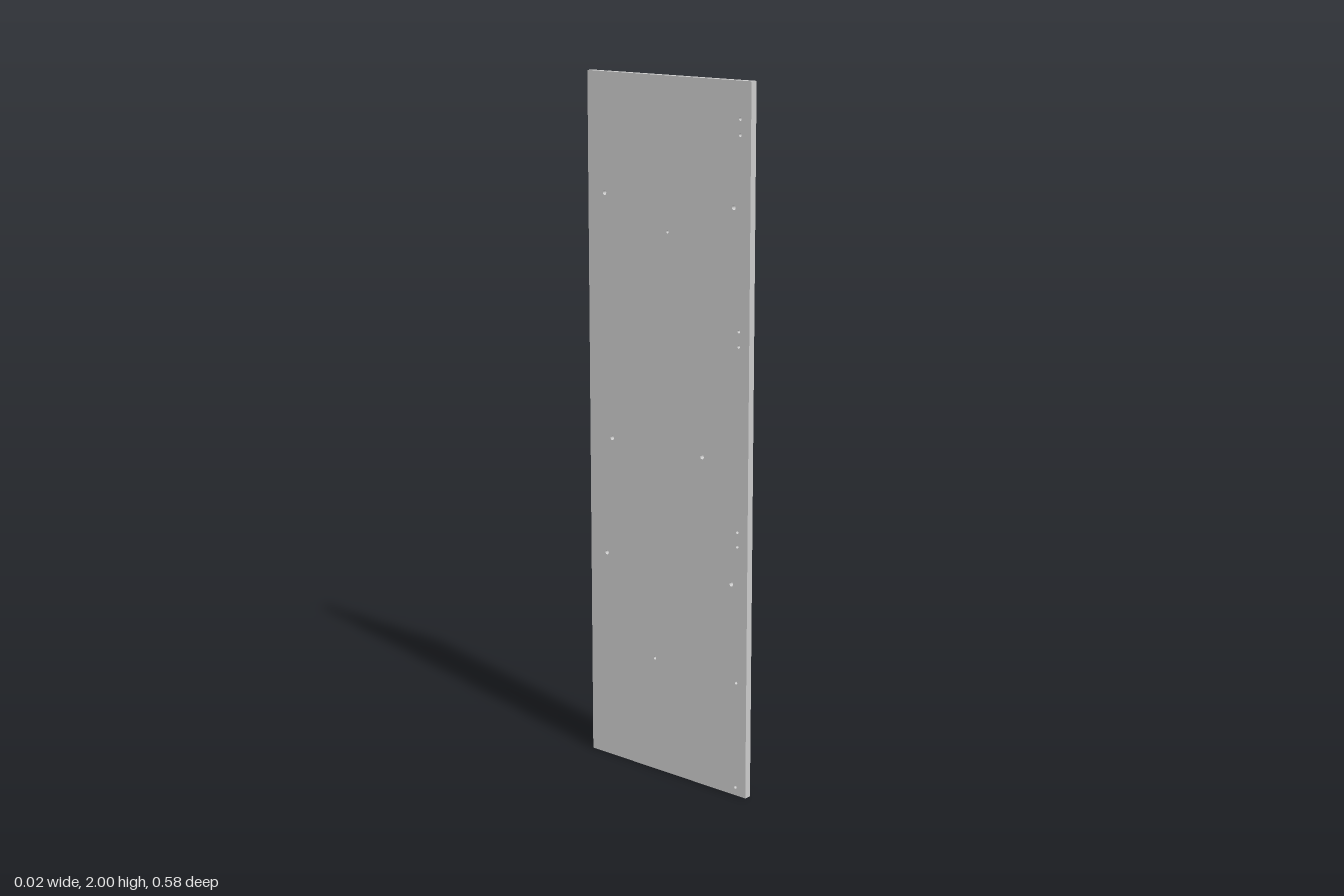
import * as THREE from 'three';

const H = 2, D = 0.583, T = 0.021;
const grey = new THREE.MeshStandardMaterial({ color: 0xcccccc });
const greyBoth = new THREE.MeshStandardMaterial({ color: 0xcccccc, side: THREE.DoubleSide });

// Flat rectangle facing +z with drilled holes; each hole is { u, v, r, depth, through }
function drilledFace(name, w, h, holes = []) {
  const face = new THREE.Group();
  face.name = name;
  const shape = new THREE.Shape([
    new THREE.Vector2(-w / 2, -h / 2), new THREE.Vector2(w / 2, -h / 2),
    new THREE.Vector2(w / 2, h / 2), new THREE.Vector2(-w / 2, h / 2),
  ]);
  for (const { u, v, r, depth, through } of holes) {
    const path = new THREE.Path();
    path.absarc(u, v, r, 0, Math.PI * 2, true);
    shape.holes.push(path);
    if (!depth) continue; // opening only, the wall belongs to the opposite face
    const wall = new THREE.Mesh(
      new THREE.CylinderGeometry(r, r, depth, 16, 1, true).rotateX(Math.PI / 2), greyBoth);
    wall.name = 'holeWall';
    wall.position.set(u, v, -depth / 2);
    face.add(wall);
    if (!through) {
      const floor = new THREE.Mesh(new THREE.CircleGeometry(r, 16), grey);
      floor.name = 'holeFloor';
      floor.position.set(u, v, -depth);
      face.add(floor);
    }
  }
  const surface = new THREE.Mesh(new THREE.ShapeGeometry(shape, 8), grey);
  surface.name = name + 'Surface';
  face.add(surface);
  return face;
}

export function createModel() {
  const panel = new THREE.Group();
  panel.name = 'cabinetSidePanel';

  // Hole positions as [z, y]
  const bolts = [
    [0.235, 1.665], [-0.23, 1.665], [0.235, 0.62], [-0.23, 0.62],
    [0.128, 0.965], [-0.207, 0.965],
  ];
  const shelfPins = [];
  for (const y of [1.62, 1.495, 1.368, 0.562, 0.437, 0.31])
    for (const z of [0.128, -0.207]) shelfPins.push([z, y]);
  const hingeScrews = [[0.002, 1.578], [-0.046, 0.339], [0.255, 0.336], [0.255, 0.024]];
  for (const y of [1.9, 1.333, 0.773])
    hingeScrews.push([0.255, y], [0.255, y - 0.042]);

  // Broad faces: through bolt holes in both, blind holes in each
  const hole = (side, r, depth, through = false) => ([z, y]) =>
    ({ u: -side * z, v: y - H / 2, r, depth, through });
  const left = drilledFace('leftFace', D, H, [
    ...bolts.map(hole(1, 0.0065, T, true)), ...shelfPins.map(hole(1, 0.0045, 0.014)),
  ]);
  left.rotation.y = Math.PI / 2;
  left.position.set(T / 2, H / 2, 0);
  const right = drilledFace('rightFace', D, H, [
    ...bolts.map(hole(-1, 0.0065, 0)), ...hingeScrews.map(hole(-1, 0.0045, 0.014)),
  ]);
  right.rotation.y = -Math.PI / 2;
  right.position.set(-T / 2, H / 2, 0);

  // Narrow ends with dowel holes
  const dowels = [-0.23, 0.23].map((v) => ({ u: 0, v, r: 0.005, depth: 0.04 }));
  const top = drilledFace('topEdge', T, D, dowels);
  top.rotation.x = -Math.PI / 2;
  top.position.y = H;
  const bottom = drilledFace('bottomEdge', T, D, dowels);
  bottom.rotation.x = Math.PI / 2;

  // Plain long edges
  const front = drilledFace('frontEdge', T, H);
  front.position.set(0, H / 2, D / 2);
  const back = drilledFace('backEdge', T, H);
  back.rotation.y = Math.PI;
  back.position.set(0, H / 2, -D / 2);

  panel.add(left, right, top, bottom, front, back);
  return panel;
}
